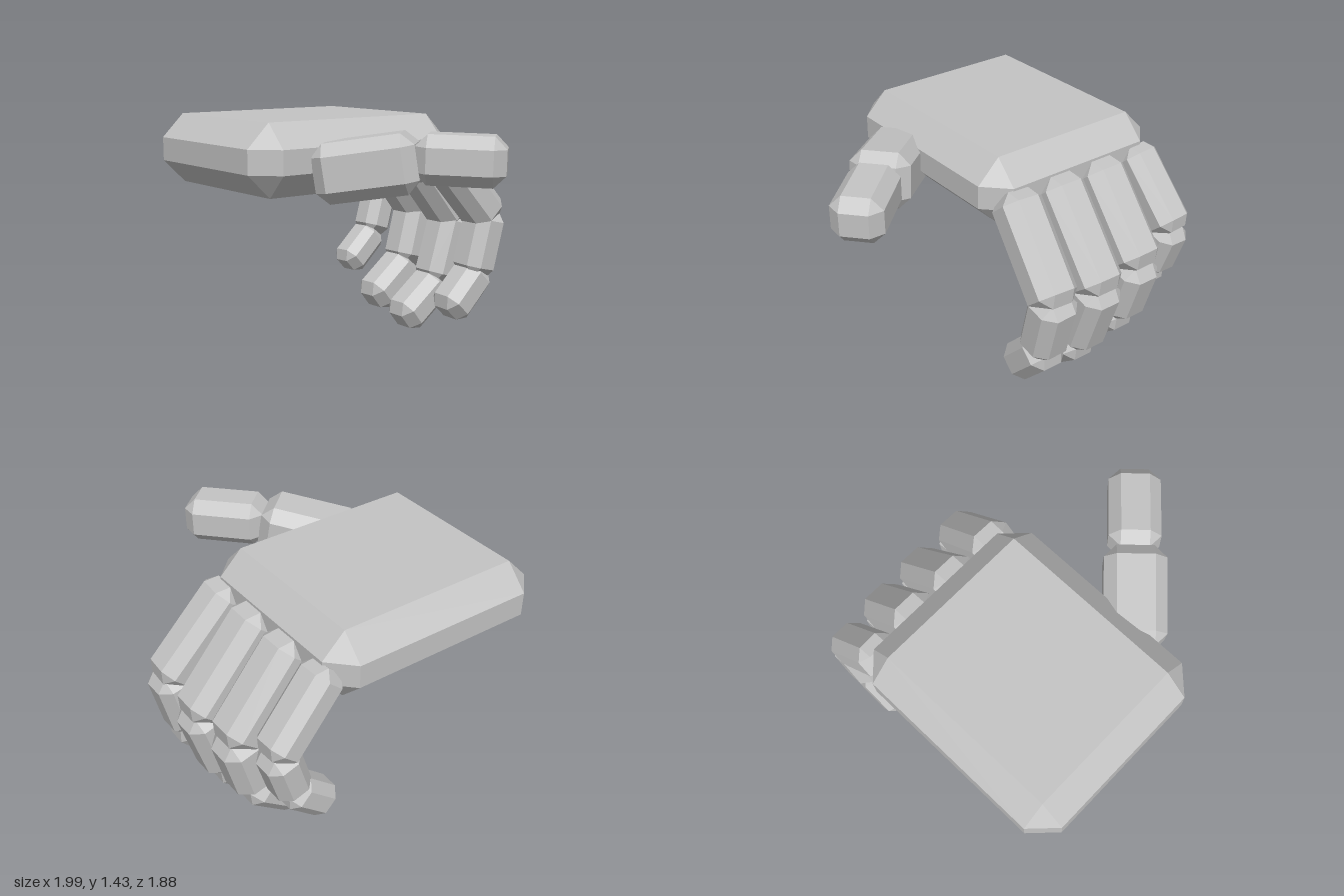
import * as THREE from 'three';
import { ConvexGeometry } from 'three/addons/geometries/ConvexGeometry.js';

const skin = new THREE.MeshStandardMaterial({ color: 0xc4c4c4 });
skin.name = 'light grey';

// Box with flat chamfered edges and triangular corners
function chamferBox(w, h, d, c) {
  const pts = [];
  for (const x of [-1, 1]) for (const y of [-1, 1]) for (const z of [-1, 1]) {
    for (const keep of [0, 1, 2]) {
      const half = [w / 2, h / 2, d / 2].map((v, i) => (i === keep ? v : v - c));
      pts.push(new THREE.Vector3(x * half[0], y * half[1], z * half[2]));
    }
  }
  return new ConvexGeometry(pts);
}

// One finger bone running between two points; side is its width direction
function bone(name, from, to, width, thickness, chamfer, side) {
  const a = new THREE.Vector3(...from), b = new THREE.Vector3(...to);
  const dir = b.clone().sub(a);
  const length = dir.length();
  dir.normalize();
  const up = dir.clone().cross(new THREE.Vector3(...side)).normalize();
  const across = up.clone().cross(dir);
  const mesh = new THREE.Mesh(chamferBox(width, thickness, length, chamfer), skin);
  mesh.name = name;
  mesh.quaternion.setFromRotationMatrix(new THREE.Matrix4().makeBasis(across, up, dir));
  mesh.position.copy(a).add(b).multiplyScalar(0.5);
  return mesh;
}

export function createModel() {
  const hand = new THREE.Group();
  hand.name = 'hand';

  // Palm
  const palm = new THREE.Mesh(chamferBox(1.23, 0.415, 1.4, 0.138), skin);
  palm.name = 'palm';
  palm.position.set(-0.385, 1.225, 0.24);
  hand.add(palm);

  // Fingers: x at each joint, bone widths, and [y, z] ends of each bone
  const fingers = [
    { name: 'indexFinger', x: [0.06, 0.10, 0.085, 0.07], w: [0.265, 0.255, 0.245],
      ends: [[1.24, -0.41], [0.735, -0.855], [0.80, -0.834], [0.376, -0.73], [0.428, -0.784], [0.158, -0.522]] },
    { name: 'middleFinger', x: [-0.24, -0.23, -0.233, -0.238], w: [0.275, 0.265, 0.25],
      ends: [[1.24, -0.41], [0.69, -0.86], [0.75, -0.835], [0.28, -0.69], [0.307, -0.715], [0.063, -0.40]] },
    { name: 'ringFinger', x: [-0.548, -0.553, -0.548, -0.543], w: [0.275, 0.265, 0.25],
      ends: [[1.24, -0.41], [0.72, -0.83], [0.77, -0.805], [0.36, -0.69], [0.385, -0.715], [0.14, -0.40]] },
    { name: 'littleFinger', x: [-0.845, -0.872, -0.86, -0.847], w: [0.235, 0.225, 0.215],
      ends: [[1.24, -0.41], [0.825, -0.775], [0.86, -0.75], [0.53, -0.645], [0.555, -0.665], [0.332, -0.417]] },
  ];
  const parts = ['Base', 'Middle', 'Tip'];
  for (const f of fingers) {
    const group = new THREE.Group();
    group.name = f.name;
    parts.forEach((part, i) => {
      const [a, b] = [f.ends[2 * i], f.ends[2 * i + 1]];
      group.add(bone(f.name + part, [f.x[i], ...a], [f.x[i + 1], ...b],
        f.w[i], f.w[i] - 0.012, f.w[i] * 0.25, [1, 0, 0]));
    });
    hand.add(group);
  }

  // Thumb
  const thumb = new THREE.Group();
  thumb.name = 'thumb';
  const side = [0.67, 0, 0.74];
  thumb.add(bone('thumbBase', [0.16, 1.142, 0.533], [0.58, 1.225, 0.151], 0.355, 0.335, 0.07, side));
  thumb.add(bone('thumbTip', [0.564, 1.24, 0.162], [0.931, 1.227, -0.17], 0.3, 0.277, 0.068, side));
  hand.add(thumb);

  return hand;
}
